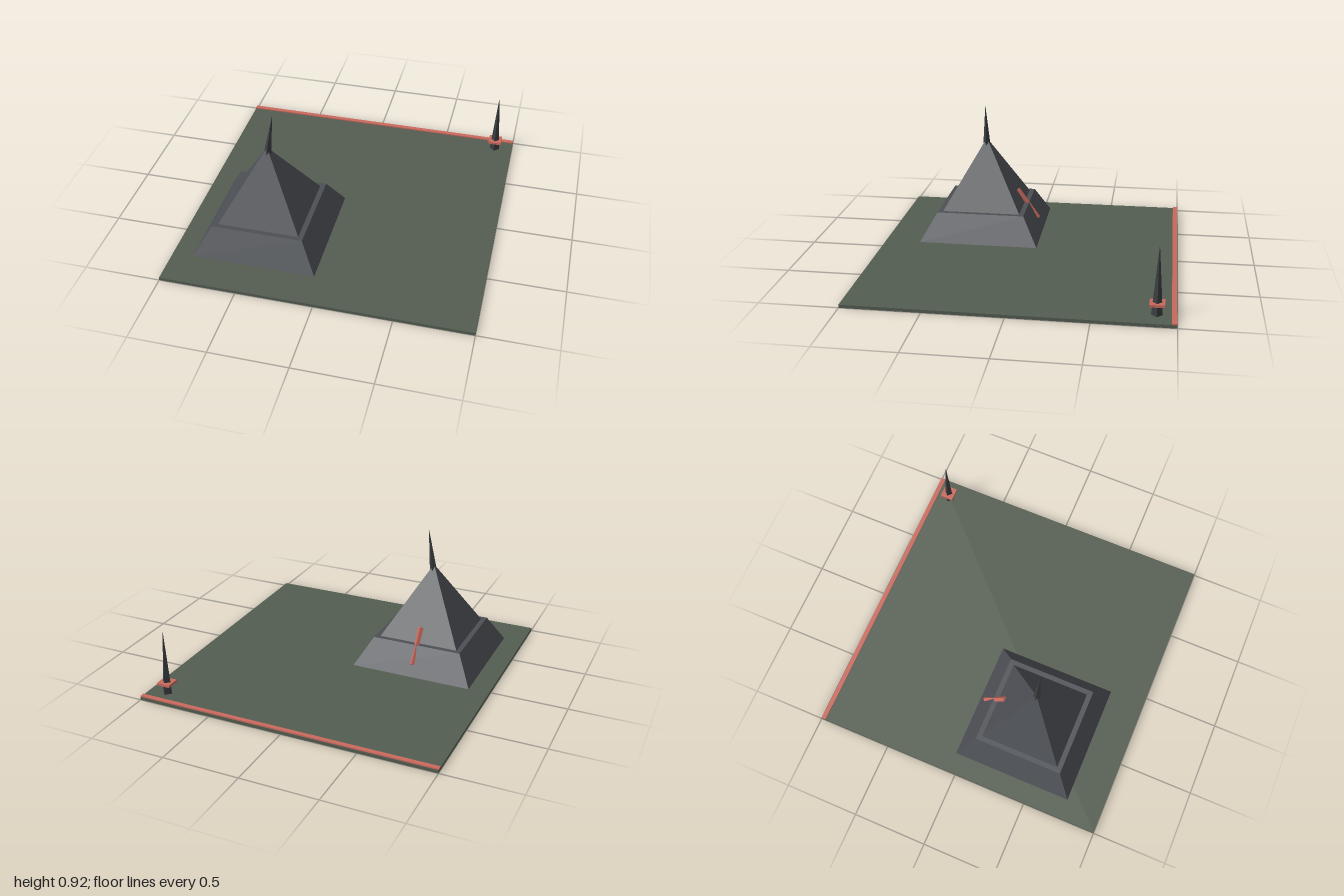
import * as THREE from 'three';

const material = (name, color) => {
  const m = new THREE.MeshStandardMaterial({ color });
  m.name = name;
  return m;
};

export function createModel() {
  const model = new THREE.Group();
  const moss = material('mossGround', 0x545d51);
  const stone = material('slateStone', 0x4c4f54);
  const dark = material('darkStone', 0x3a3d41);
  const coral = material('coral', 0xc9695d);

  const add = (name, geometry, mat, x, y, z) => {
    const mesh = new THREE.Mesh(geometry, mat);
    mesh.name = name;
    mesh.position.set(x, y, z);
    model.add(mesh);
    return mesh;
  };

  // Four-sided tapered solid with flat faces; square turns its sides to the axes
  const taper = (top, bottom, height, square) => {
    const k = square ? Math.SQRT2 : 1;
    const g = new THREE.CylinderGeometry(top * k, bottom * k, height, 4, 1);
    if (square) g.rotateY(Math.PI / 4);
    const flat = g.toNonIndexed();
    flat.computeVertexNormals();
    return flat;
  };

  // Rod whose axis runs from one point to another
  const rod = (name, from, to, bottom, top, mat) => {
    const a = new THREE.Vector3(...from), b = new THREE.Vector3(...to);
    const mid = a.clone().add(b).multiplyScalar(0.5);
    const mesh = add(name, taper(top, bottom, a.distanceTo(b)), mat, mid.x, mid.y, mid.z);
    mesh.quaternion.setFromUnitVectors(new THREE.Vector3(0, 1, 0), b.sub(a).normalize());
  };

  // Ground slab and the border along its back edge
  add('ground', new THREE.BoxGeometry(2, 0.02, 2), moss, 0, 0.01, 0);
  add('backBorder', new THREE.BoxGeometry(2, 0.01, 0.03), coral, 0, 0.023, -0.982);

  // Stepped pyramid
  const px = -0.46, pz = 0.355;
  add('pyramidBase', taper(0.3, 0.405, 0.185, true), stone, px, 0.1125, pz);
  add('pyramidTop', taper(0, 0.267, 0.465, true), stone, px, 0.4375, pz);

  // Leaning horn on the summit
  rod('summitHorn', [-0.46, 0.605, pz], [-0.415, 0.915, pz], 0.027, 0, dark);

  // Slanted marker on the back slope, partly sunk into the ledge
  rod('slopeMarker', [px, 0.093, -0.012], [px, 0.297, 0.137], 0.015, 0.019, coral);

  // Corner spire with its collar
  add('cornerSpire', taper(0, 0.034, 0.44), dark, 0.875, 0.24, -0.88);
  add('spireCollar', new THREE.BoxGeometry(0.09, 0.016, 0.09), coral, 0.875, 0.093, -0.88);

  return model;
}
